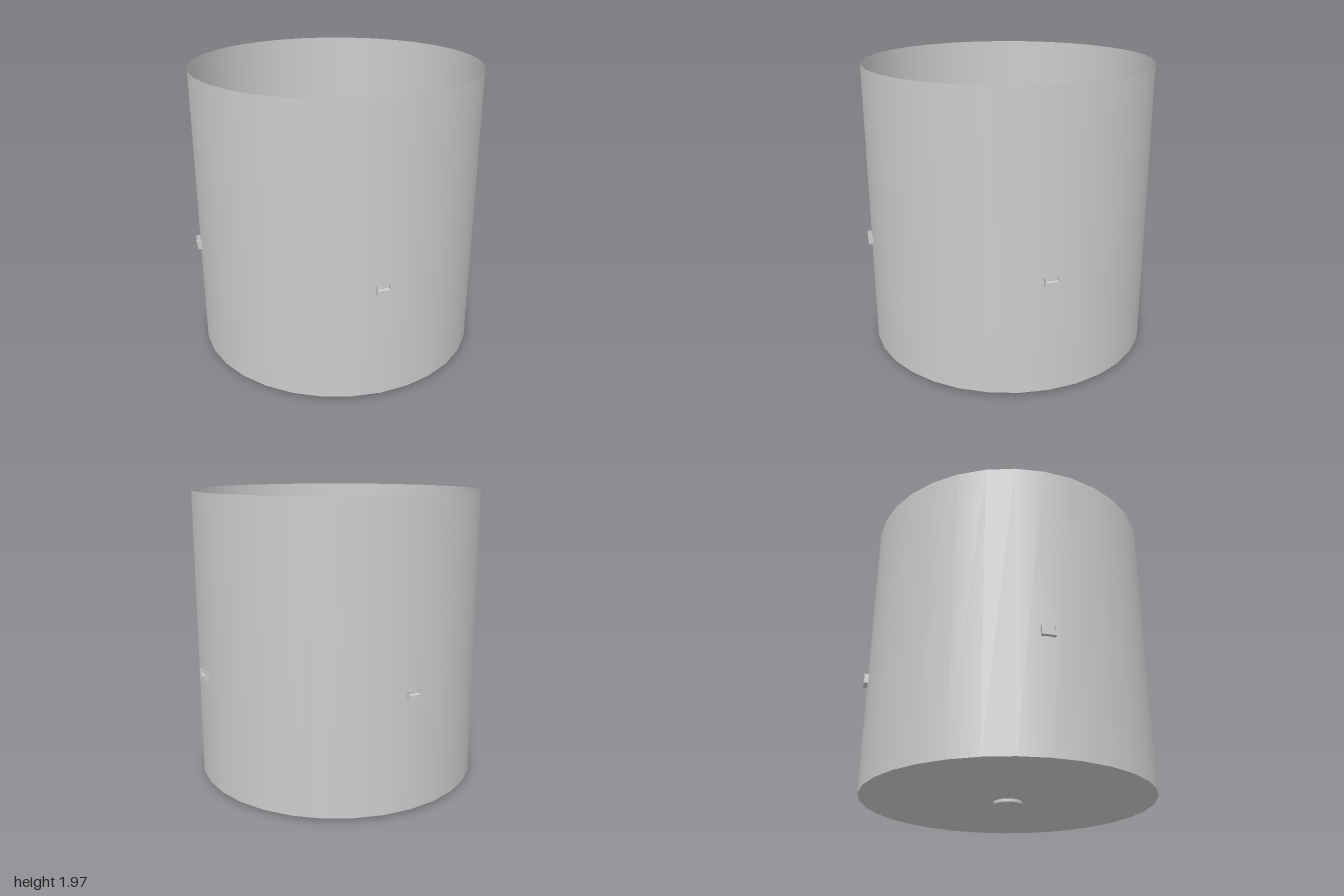
import * as THREE from 'three';

export function createModel() {
  const model = new THREE.Group();
  const grey = new THREE.MeshStandardMaterial({ color: 0xcccccc, side: THREE.DoubleSide });
  grey.name = 'plainGrey';

  const add = (name, geometry, x = 0, y = 0, z = 0, parent = model) => {
    const mesh = new THREE.Mesh(geometry, grey);
    mesh.name = name;
    mesh.position.set(x, y, z);
    parent.add(mesh);
    return mesh;
  };

  // Open-topped drum with a thin wall
  const R = 0.975, BOTTOM = 0.02, TOP = 1.97;
  add('drumWall', new THREE.CylinderGeometry(R, R, TOP - BOTTOM, 32, 1, true), 0, (TOP + BOTTOM) / 2);
  add('drumFloor', new THREE.CircleGeometry(R, 32).rotateX(Math.PI / 2), 0, BOTTOM);

  // Small round foot underneath
  add('foot', new THREE.CylinderGeometry(0.095, 0.095, 0.02, 32), 0, 0.01);

  // Central dish floor, level with the channel floors
  const low = 0.755, mid = 0.787, high = 0.82;
  const dishR = 0.456, half = 0.045, lip = 0.005;
  add('dishFloor', new THREE.CylinderGeometry(dishR, dishR, mid - low, 64), 0, (low + mid) / 2);

  // Rim arc between two neighbouring channels
  const rimArc = () => {
    const inner = dishR - 0.008;
    const a = Math.asin(half / dishR), b = Math.PI / 2 - a;
    const shape = new THREE.Shape();
    shape.absarc(0, 0, dishR, a, b, false);
    shape.absarc(0, 0, inner, b, a, true);
    return new THREE.ExtrudeGeometry(shape, { depth: high - mid, bevelEnabled: false, curveSegments: 16 })
      .rotateX(-Math.PI / 2);
  };

  // Four channels running out through the drum wall, with rim arcs between
  const start = 0.45, length = 1 - start, middle = (1 + start) / 2;
  for (let i = 0; i < 4; i++) {
    const arm = new THREE.Group();
    arm.name = 'channel' + (i + 1);
    arm.rotation.y = i * Math.PI / 2;
    add('channelFloor', new THREE.BoxGeometry(length, mid - low, half * 2), middle, (low + mid) / 2, 0, arm);
    for (const s of [-1, 1]) {
      add('channelSide', new THREE.BoxGeometry(length, high - mid, lip),
        middle, (mid + high) / 2, s * (half - lip / 2), arm);
    }
    add('dishRim', rimArc(), 0, mid, 0, arm);
    model.add(arm);
  }
  return model;
}
